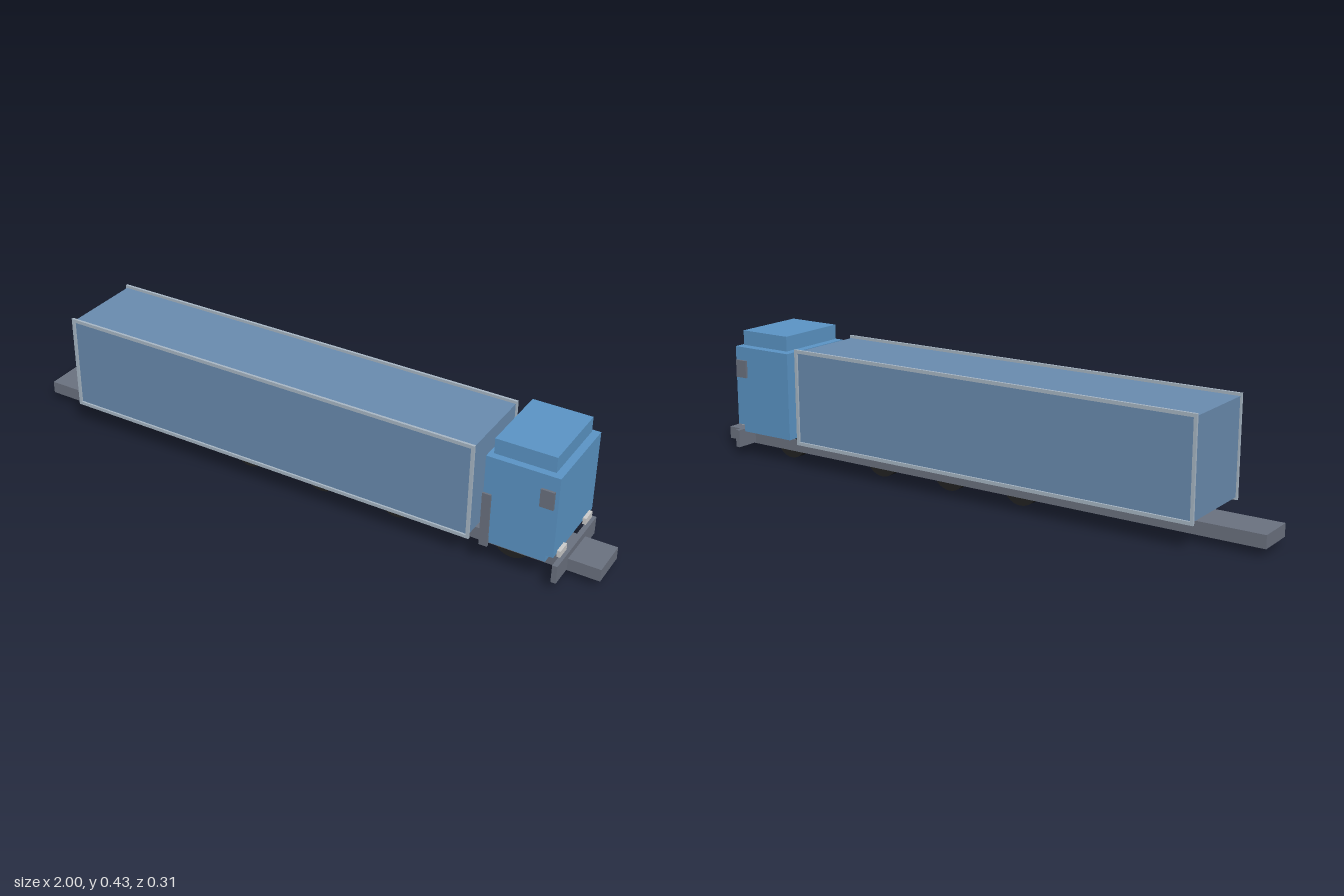
import * as THREE from 'three';

const mat = (color) => new THREE.MeshStandardMaterial({ color });

export function createModel() {
  const truck = new THREE.Group();
  truck.name = 'truck';
  const grey = mat(0x6b7280), cabBlue = mat(0x5b95c6), cargoBlue = mat(0x6a8cb0);
  const rubber = mat(0x222222), trim = mat(0xa9b8c6), lamp = mat(0xe2e2e2);

  // Box given by its extents along x, y and z
  const box = (name, material, [x0, x1], [y0, y1], [z0, z1]) => {
    const mesh = new THREE.Mesh(new THREE.BoxGeometry(x1 - x0, y1 - y0, z1 - z0), material);
    mesh.position.set((x0 + x1) / 2, (y0 + y1) / 2, (z0 + z1) / 2);
    mesh.name = name;
    truck.add(mesh);
    return mesh;
  };

  // Long frame, coupling and front bumper
  box('chassis', grey, [-1, 1], [0.025, 0.066], [-0.063, 0.063]);
  box('coupling', grey, [0.6, 0.68], [0.088, 0.104], [-0.035, 0.035]);
  box('bumper', grey, [0.882, 0.898], [0.028, 0.087], [-0.142, 0.142]);

  // Cargo container
  box('cargoBox', cargoBlue, [-0.812, 0.616], [0.087, 0.389], [-0.139, 0.139]);

  // Cab: skirt, body and roof fairing
  box('cabSkirt', cabBlue, [0.658, 0.858], [0.087, 0.112], [-0.138, 0.138]);
  box('cabBody', cabBlue, [0.656, 0.882], [0.112, 0.378], [-0.141, 0.141]);
  box('roofFairing', cabBlue, [0.672, 0.86], [0.382, 0.431], [-0.124, 0.124]);

  // Exhaust stack on one side of the cab
  box('exhaustStack', grey, [0.655, 0.682], [0.077, 0.256], [0.139, 0.148]);

  const wheelGeometry = new THREE.CylinderGeometry(0.063, 0.063, 0.04, 32).rotateX(Math.PI / 2);

  for (const side of [-1, 1]) {
    const span = (a, b) => (side > 0 ? [a, b] : [-b, -a]);

    // Frame around each side of the container
    box('topRail', trim, [-0.817, 0.621], [0.387, 0.398], span(0.137, 0.145));
    box('bottomRail', trim, [-0.817, 0.621], [0.079, 0.09], span(0.137, 0.145));
    for (const x of [-0.817, 0.611]) {
      box('cornerPost', trim, [x, x + 0.01], [0.09, 0.387], span(0.137, 0.145));
    }

    // Mirrors and headlights
    box('mirror', grey, [0.83, 0.872], [0.277, 0.335], span(0.145, 0.153));
    box('headlight', lamp, [0.882, 0.893], [0.101, 0.122], span(0.069, 0.116));

    // Wheels on four axles
    for (const x of [-0.197, 0.068, 0.335, 0.722]) {
      const wheel = new THREE.Mesh(wheelGeometry, rubber);
      wheel.position.set(x, 0.063, side * 0.04);
      wheel.name = 'wheel';
      truck.add(wheel);
    }
  }
  return truck;
}
